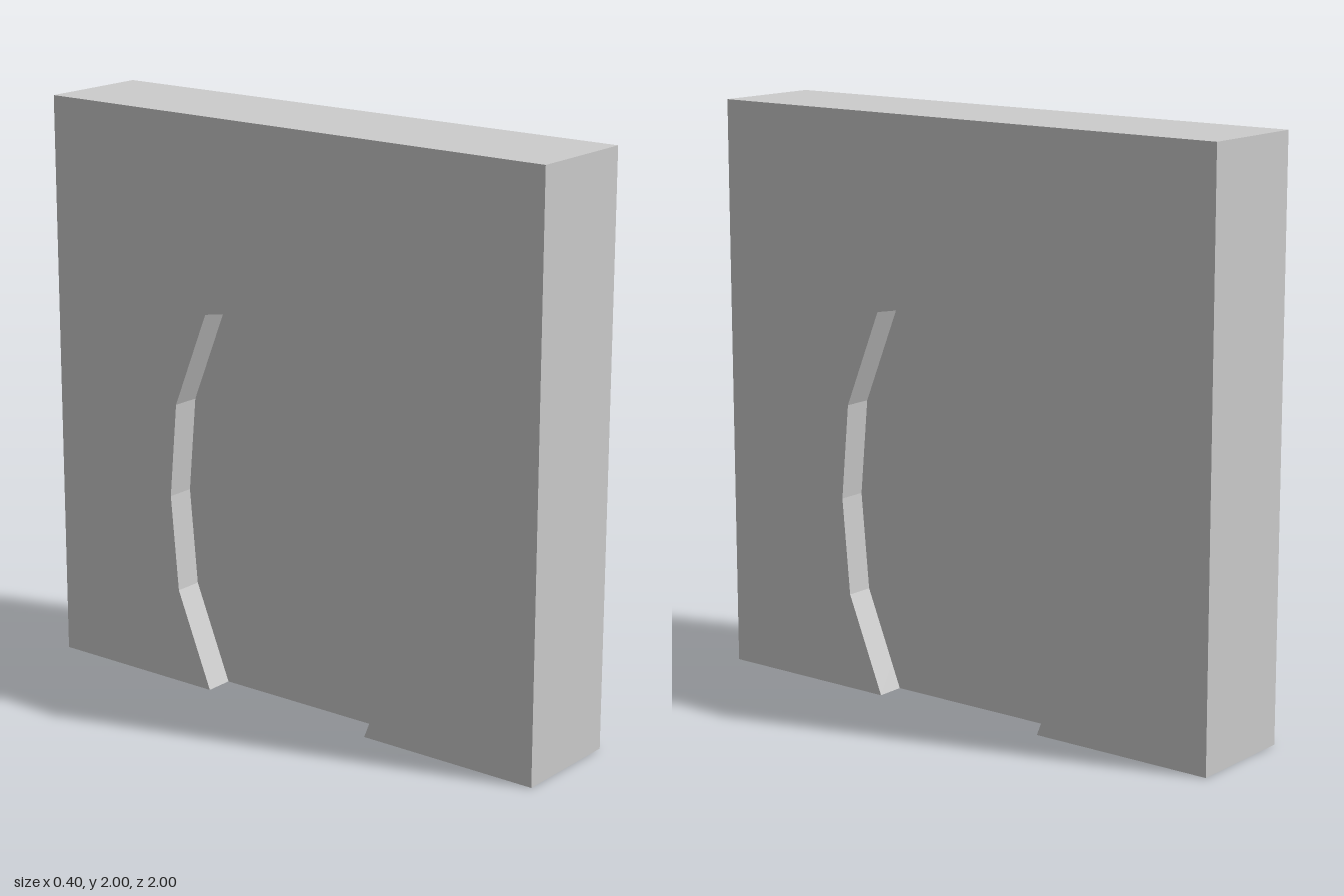
import * as THREE from 'three';

const WIDTH = 2, HEIGHT = 2, THICKNESS = 0.4, RECESS = 0.1;

// One half of the arch outline, from the floor up to the crown
const half = [[0.335, 0], [0.47, 0.335], [0.5, 0.67], [0.47, 1], [0.335, 1.335]];
const arch = [...half, [0, 1.395], ...half.map(([u, v]) => [-u, v]).reverse()]
  .map(([u, v]) => new THREE.Vector2(u, v));

// Extrude an outline across the wall, centred on x = 0
function slab(name, points, depth) {
  const geometry = new THREE.ExtrudeGeometry(new THREE.Shape(points), { depth, bevelEnabled: false });
  geometry.translate(0, 0, -depth / 2).rotateY(-Math.PI / 2);
  const material = new THREE.MeshStandardMaterial({ color: 0xcccccc, flatShading: true });
  const mesh = new THREE.Mesh(geometry, material);
  mesh.name = name;
  return mesh;
}

export function createModel() {
  const group = new THREE.Group();
  group.name = 'archedWall';

  // Wall block with the arch cut up from its lower edge
  const w = WIDTH / 2;
  const corners = [[-w, 0], [-w, HEIGHT], [w, HEIGHT], [w, 0]].map(([u, v]) => new THREE.Vector2(u, v));
  group.add(slab('wall', [...corners, ...arch], THICKNESS));

  // Thinner panel closing the arch, set back on both sides
  group.add(slab('recessedPanel', arch, THICKNESS - 2 * RECESS));

  return group;
}
